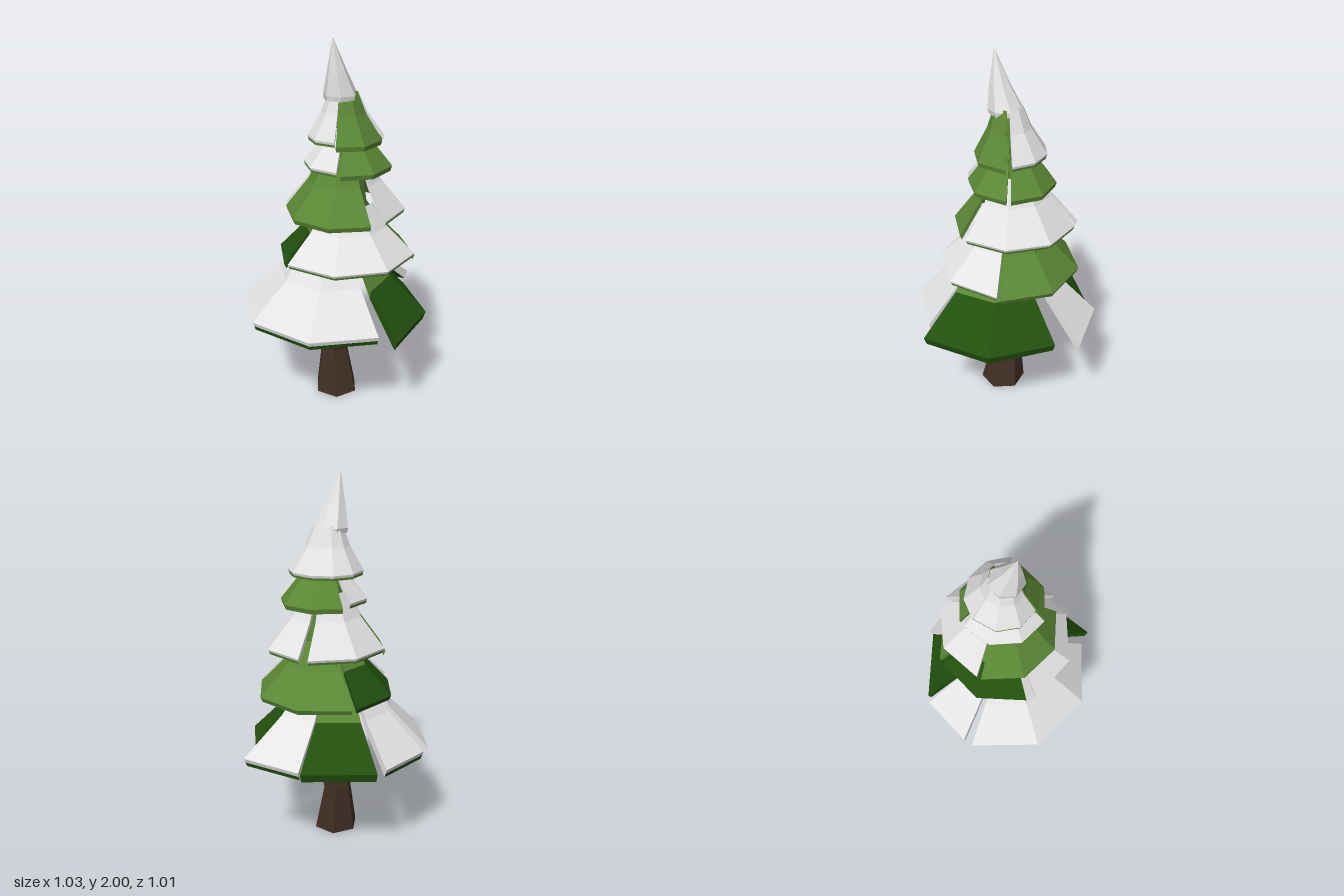
import * as THREE from 'three';

const mat = (name, color) => {
  const m = new THREE.MeshStandardMaterial({ color });
  m.name = name;
  return m;
};

export function createModel() {
  const snow = mat('snow', 0xe4e4e4);
  const green = mat('light needles', 0x5b8835);
  const dark = mat('dark needles', 0x22500e);
  const bark = mat('bark', 0x402e25);
  const tree = new THREE.Group();
  tree.name = 'snowyTree';

  // Faceted mesh from quads, each tagged with its material
  function quadMesh(name, quads) {
    const mats = [...new Set(quads.map(q => q.m))];
    const pos = [], geo = new THREE.BufferGeometry();
    mats.forEach((m, i) => {
      const start = pos.length / 3;
      for (const { p: [a, b, c, d] } of quads.filter(q => q.m === m)) pos.push(...a, ...b, ...c, ...a, ...c, ...d);
      geo.addGroup(start, pos.length / 3 - start, i);
    });
    geo.setAttribute('position', new THREE.Float32BufferAttribute(pos, 3));
    geo.computeVertexNormals();
    const mesh = new THREE.Mesh(geo, mats);
    mesh.name = name;
    return mesh;
  }

  // Point on a horizontal circle; angle 0 is the front, growing towards +x
  const around = (x, y, z, r, a) => [x + r * Math.sin(a), y, z + r * Math.cos(a)];

  // A bough: thick panel sweeping an arc, steep near the core and flared at the rim
  function bough(name, { x, z, y, top, thick }, { look, from, to, sides, r, rEnd = r }) {
    const { upper, lower, under } = look;
    const rimY = upper === snow ? y + 0.02 : y;
    const column = (i, inset, drop) => {
      const t = i / sides;
      const a = THREE.MathUtils.degToRad(THREE.MathUtils.lerp(from, to, t));
      const radius = THREE.MathUtils.lerp(r, rEnd, t) * inset;
      return [[1, 0], [0.6, 0.54], [0.38, 1]].map(([k, f]) =>
        around(x, THREE.MathUtils.lerp(rimY, top, f) - drop, z, radius * k, a));
    };
    const quads = [], add = (m, ...p) => quads.push({ m, p });
    const middle = (p, q) => p.map((v, k) => (v + q[k]) / 2);
    for (let i = 0; i < sides; i++) {
      const a = column(i, 1, 0), b = column(i + 1, 1, 0);
      const c = column(i, 0.97, thick), d = column(i + 1, 0.97, thick);
      for (let j = 0; j < 2; j++) {
        add(j ? upper : lower, a[j], b[j], b[j + 1], a[j + 1]);
        add(j ? upper : under, d[j], c[j], c[j + 1], d[j + 1]);
        if (i === 0) add(j ? upper : lower, c[j], a[j], a[j + 1], c[j + 1]);
        if (i === sides - 1) add(j ? upper : lower, b[j], d[j], d[j + 1], b[j + 1]);
      }
      // rim: coat colour above, needles below
      const lipA = middle(a[0], c[0]), lipB = middle(b[0], d[0]);
      add(lower, lipA, lipB, b[0], a[0]);
      add(under, c[0], d[0], lipB, lipA);
    }
    return quadMesh(name, quads);
  }

  function addTier(name, shape, boughs) {
    const g = new THREE.Group();
    g.name = name;
    boughs.forEach((b, i) => g.add(bough(`bough${i + 1}`, shape, b)));
    tree.add(g);
  }

  const snowy = { upper: snow, lower: snow, under: green };
  const snowyDark = { upper: snow, lower: snow, under: dark };
  const leafy = { upper: green, lower: green, under: green };
  const leafyDark = { upper: green, lower: dark, under: dark };

  addTier('bottomTier', { x: 0, z: 0, y: 0.54, top: 0.92, thick: 0.045 }, [
    { look: snowyDark, from: -89, to: 42, sides: 3, r: 0.52, rEnd: 0.47 },
    { look: leafyDark, from: 49, to: 135, sides: 2, r: 0.54, rEnd: 0.48 },
    { look: snowyDark, from: 144, to: 179, sides: 1, r: 0.58, rEnd: 0.52 },
    { look: leafyDark, from: 179, to: 225, sides: 1, r: 0.5 },
    { look: snowyDark, from: 230, to: 265, sides: 1, r: 0.51 },
  ]);
  addTier('lowTier', { x: 0.05, z: -0.04, y: 0.85, top: 1.14, thick: 0.025 }, [
    { look: snowy, from: -39, to: 91, sides: 3, r: 0.38 },
    { look: leafy, from: 94, to: 222, sides: 3, r: 0.38 },
    { look: leafyDark, from: 227, to: 313, sides: 2, r: 0.37 },
  ]);
  addTier('middleTier', { x: 0.04, z: -0.05, y: 1.09, top: 1.4, thick: 0.025 }, [
    { look: leafy, from: -86, to: 40, sides: 3, r: 0.32, rEnd: 0.3 },
    { look: snowy, from: 55, to: 177, sides: 3, r: 0.32, rEnd: 0.34 },
    { look: snowy, from: 186, to: 270, sides: 2, r: 0.35, rEnd: 0.32 },
  ]);
  addTier('highTier', { x: 0.05, z: -0.05, y: 1.34, top: 1.56, thick: 0.025 }, [
    { look: snowy, from: -124, to: 0, sides: 3, r: 0.225 },
    { look: leafy, from: 5, to: 95, sides: 2, r: 0.22, rEnd: 0.24 },
    { look: leafy, from: 100, to: 225, sides: 3, r: 0.24, rEnd: 0.23 },
  ]);
  addTier('upperTier', { x: 0.03, z: -0.03, y: 1.48, top: 1.73, thick: 0.025 }, [
    { look: snowy, from: -120, to: 0, sides: 3, r: 0.185, rEnd: 0.16 },
    { look: leafy, from: 3, to: 98, sides: 2, r: 0.17, rEnd: 0.21 },
    { look: snowy, from: 106, to: 240, sides: 4, r: 0.22, rEnd: 0.19 },
  ]);

  // Loft through rings [x, y, z, radius] with flat caps
  function addLoft(name, m, rings, sides) {
    const quads = [], add = (...p) => quads.push({ m, p });
    const first = rings[0], last = rings[rings.length - 1];
    const pt = (ring, i) => around(...ring, 0.25 + (i * 2 * Math.PI) / sides);
    const low = first.slice(0, 3), high = last.slice(0, 3);
    for (let i = 0; i < sides; i++) {
      for (let j = 0; j + 1 < rings.length; j++) {
        add(pt(rings[j], i), pt(rings[j], i + 1), pt(rings[j + 1], i + 1), pt(rings[j + 1], i));
      }
      add(low, pt(first, i + 1), pt(first, i), low);
      add(high, pt(last, i), pt(last, i + 1), high);
    }
    tree.add(quadMesh(name, quads));
  }

  // Bent trunk, hidden core that closes the gaps, and snowy tip
  addLoft('trunk', bark, [
    [0.01, 0, 0, 0.125], [-0.007, 0.26, -0.02, 0.08], [0.045, 0.53, -0.02, 0.073], [0.05, 0.95, -0.03, 0.06]], 6);
  addLoft('core', green, [[0.04, 0.88, -0.03, 0.16], [0.04, 1.3, -0.04, 0.1], [0.03, 1.7, -0.03, 0.05]], 8);
  addLoft('tip', snow, [
    [0.025, 1.69, -0.02, 0.085], [0.025, 1.715, -0.02, 0.09], [0.015, 1.83, 0.01, 0.053], [0, 2, 0.04, 0.001]], 7);
  return tree;
}
